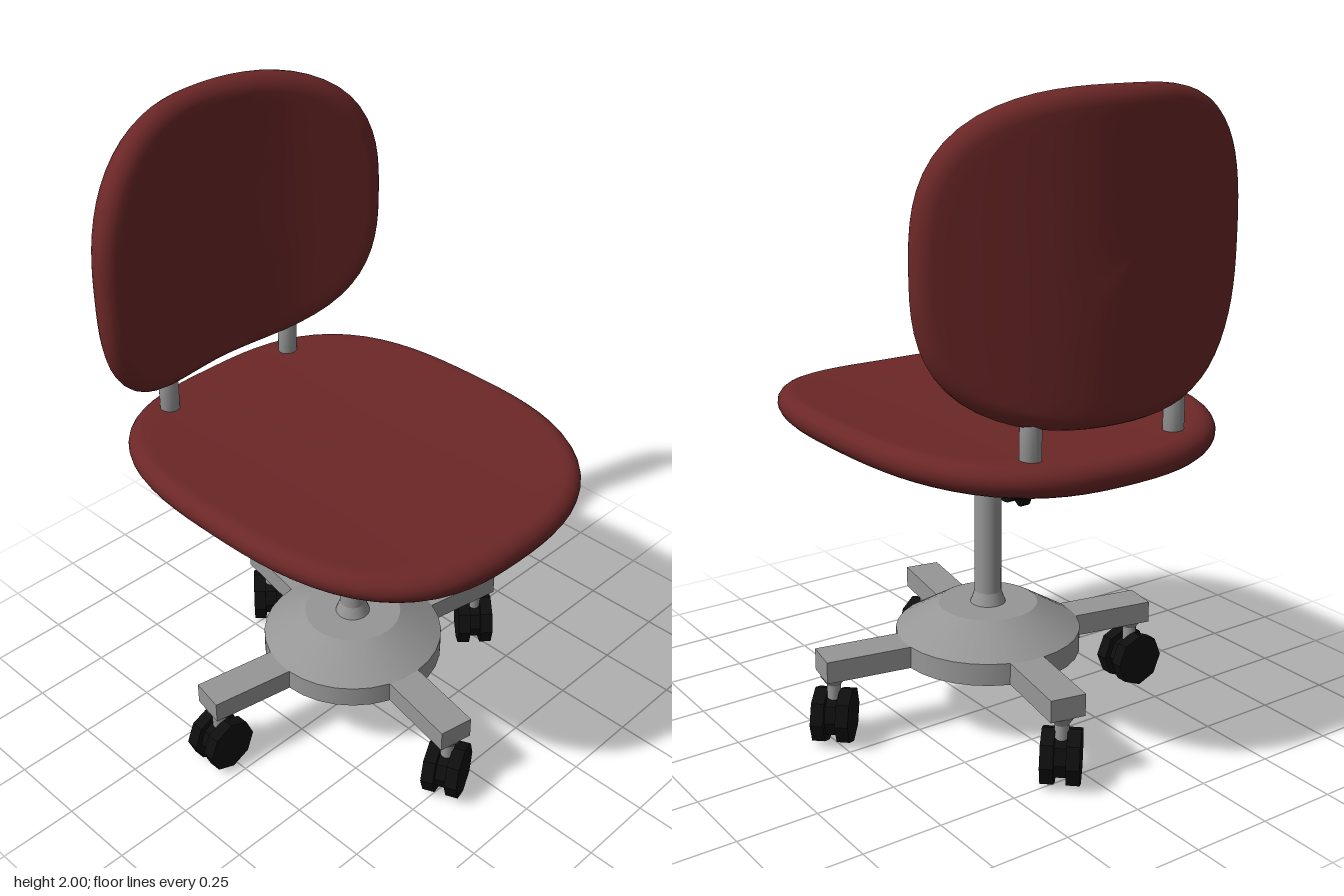
import * as THREE from 'three';

const paint = (name, color) => {
  const m = new THREE.MeshStandardMaterial({ color });
  m.name = name;
  return m;
};

// Padded slab with a squarish oval outline; place() bends (u, v, w) into position
function cushion(halfU, halfV, halfW, edge, power, place) {
  const rings = [];
  for (const s of [0, 0.25, 0.5, 0.75, 0.92]) rings.push([edge + (1 - s) * (halfU - edge), -halfW, s]);
  for (let i = 0; i <= 10; i++) {
    const t = -Math.PI / 2 + (i / 10) * Math.PI;
    rings.push([edge * (1 - Math.cos(t)), halfW * Math.sin(t), null]);
  }
  for (const s of [0.92, 0.75, 0.5, 0.25, 0]) rings.push([0, halfW, s]);

  const n = 72, pos = [], index = [];
  for (const [inset, w, s] of rings) {
    const a = s === null ? halfU - inset : (halfU - edge) * s;
    const b = s === null ? halfV - inset : (halfV - edge) * s;
    for (let j = 0; j < n; j++) {
      const t = (j / n) * Math.PI * 2, c = Math.cos(t), k = Math.sin(t);
      const r = Math.pow(Math.abs(c) ** power + Math.abs(k) ** power, -1 / power);
      pos.push(...place(a * r * c, b * r * k, w));
    }
  }
  for (let i = 0; i < rings.length - 1; i++) {
    for (let j = 0; j < n; j++) {
      const a = i * n + j, b = i * n + ((j + 1) % n);
      index.push(a, b, b + n, a, b + n, a + n);
    }
  }
  const g = new THREE.BufferGeometry();
  g.setAttribute('position', new THREE.Float32BufferAttribute(pos, 3));
  g.setIndex(index);
  g.computeVertexNormals();
  return g;
}

function faceted(geometry) {
  const g = geometry.toNonIndexed();
  g.computeVertexNormals();
  return g;
}

export function createModel() {
  const fabric = paint('red fabric', 0x6c2727);
  const metal = paint('grey metal', 0x969696);
  const rubber = paint('black plastic', 0x0e0e0e);

  const chair = new THREE.Group();
  chair.name = 'swivelChair';
  const add = (parent, name, geometry, material, x = 0, y = 0, z = 0) => {
    const mesh = new THREE.Mesh(geometry, material);
    mesh.name = name;
    mesh.position.set(x, y, z);
    parent.add(mesh);
    return mesh;
  };
  const cx = -0.01, padX = -0.017;

  // Seat, dished from side to side
  add(chair, 'seat', cushion(0.562, 0.675, 0.046, 0.05, 2.75,
    (u, v, w) => [u, w + 0.1 * u * u, -v]), fabric, padX, 0.974, 0);

  // Backrest, wrapped around the sitter, thickness measured along the curve's normal
  add(chair, 'backrest', cushion(0.55, 0.453, 0.048, 0.05, 2.8, (u, v, w) => {
    const slope = 1.5 * u - 2.64 * u ** 3, len = Math.hypot(1, slope);
    return [u - (w * slope) / len, v, 0.75 * u * u - 0.66 * u ** 4 + w / len];
  }), fabric, padX, 1.548, -0.59);

  // Posts joining seat and backrest
  for (const side of [-1, 1]) {
    const post = new THREE.LatheGeometry([[0, 0], [0.031, 0], [0.031, 0.15], [0.02, 0.19], [0, 0.21]]
      .map(([r, y]) => new THREE.Vector2(r, y)), 16);
    add(chair, side < 0 ? 'rightBackPost' : 'leftBackPost', post, metal, padX + side * 0.252, 0.99, -0.545);
  }

  // Column with a flared foot
  add(chair, 'column', new THREE.CylinderGeometry(0.042, 0.042, 0.6, 24, 1), metal, cx, 0.66, 0);
  add(chair, 'columnFoot', new THREE.CylinderGeometry(0.042, 0.056, 0.04, 24, 1), metal, cx, 0.39, 0);

  // Base hub: disc with a conical top
  add(chair, 'hubDisc', new THREE.CylinderGeometry(0.29, 0.29, 0.07, 32), metal, cx, 0.255, 0);
  add(chair, 'hubCone', new THREE.CylinderGeometry(0.155, 0.29, 0.082, 32), metal, cx, 0.331, 0);

  // Four arms, each with a swivelled twin-wheel caster
  const names = ['left', 'back', 'right', 'front'];
  const yaws = [0.83, 0.83, 0, 0.42];
  const wheel = faceted(new THREE.CylinderGeometry(0.087, 0.087, 0.04, 8).rotateX(Math.PI / 2));
  const wheelHub = faceted(new THREE.CylinderGeometry(0.066, 0.066, 0.06, 8).rotateX(Math.PI / 2));
  const stem = new THREE.CylinderGeometry(0.022, 0.022, 0.09, 12);
  const collar = new THREE.CylinderGeometry(0.042, 0.022, 0.03, 12);
  names.forEach((name, i) => {
    const angle = -0.185 + (i * Math.PI) / 2;
    const c = Math.cos(angle), s = -Math.sin(angle);
    const arm = add(chair, name + 'Arm', new THREE.BoxGeometry(0.353, 0.069, 0.112), metal,
      cx + 0.377 * c, 0.2555, 0.377 * s);
    arm.rotation.y = angle;

    const caster = new THREE.Group();
    caster.name = name + 'Caster';
    caster.position.set(cx + 0.515 * c, 0, 0.515 * s);
    caster.rotation.y = yaws[i];
    add(caster, 'casterCollar', collar, metal, 0, 0.206, 0);
    add(caster, 'casterStem', stem, metal, 0, 0.178, 0);
    add(caster, 'wheelHub', wheelHub, rubber, 0, 0.088, 0);
    for (const side of [-1, 1]) add(caster, 'wheel', wheel, rubber, 0, 0.088, side * 0.038);
    chair.add(caster);
  });

  // Lobed adjusting knob on the side of the column
  const knob = new THREE.Group();
  knob.name = 'knob';
  knob.position.set(-0.1, 0.755, -0.01);
  const points = [];
  for (let i = 0; i < 56; i++) {
    const t = (i / 56) * Math.PI * 2, r = 0.076 + 0.009 * Math.cos(7 * t);
    points.push(new THREE.Vector2(r * Math.cos(t), r * Math.sin(t)));
  }
  const grip = new THREE.ExtrudeGeometry(new THREE.Shape(points), {
    depth: 0.03, bevelEnabled: true, bevelSize: 0.006, bevelOffset: -0.006, bevelThickness: 0.006, bevelSegments: 1,
  });
  add(knob, 'knobGrip', grip.rotateY(-Math.PI / 2), rubber, -0.012, 0, 0);
  const side = (r, length) => new THREE.CylinderGeometry(r, r, length, 20).rotateZ(Math.PI / 2);
  add(knob, 'knobCollar', side(0.062, 0.045), rubber, 0.014, 0, 0);
  add(knob, 'knobShaft', side(0.015, 0.06), rubber, 0.05, 0, 0);
  chair.add(knob);

  return chair;
}
